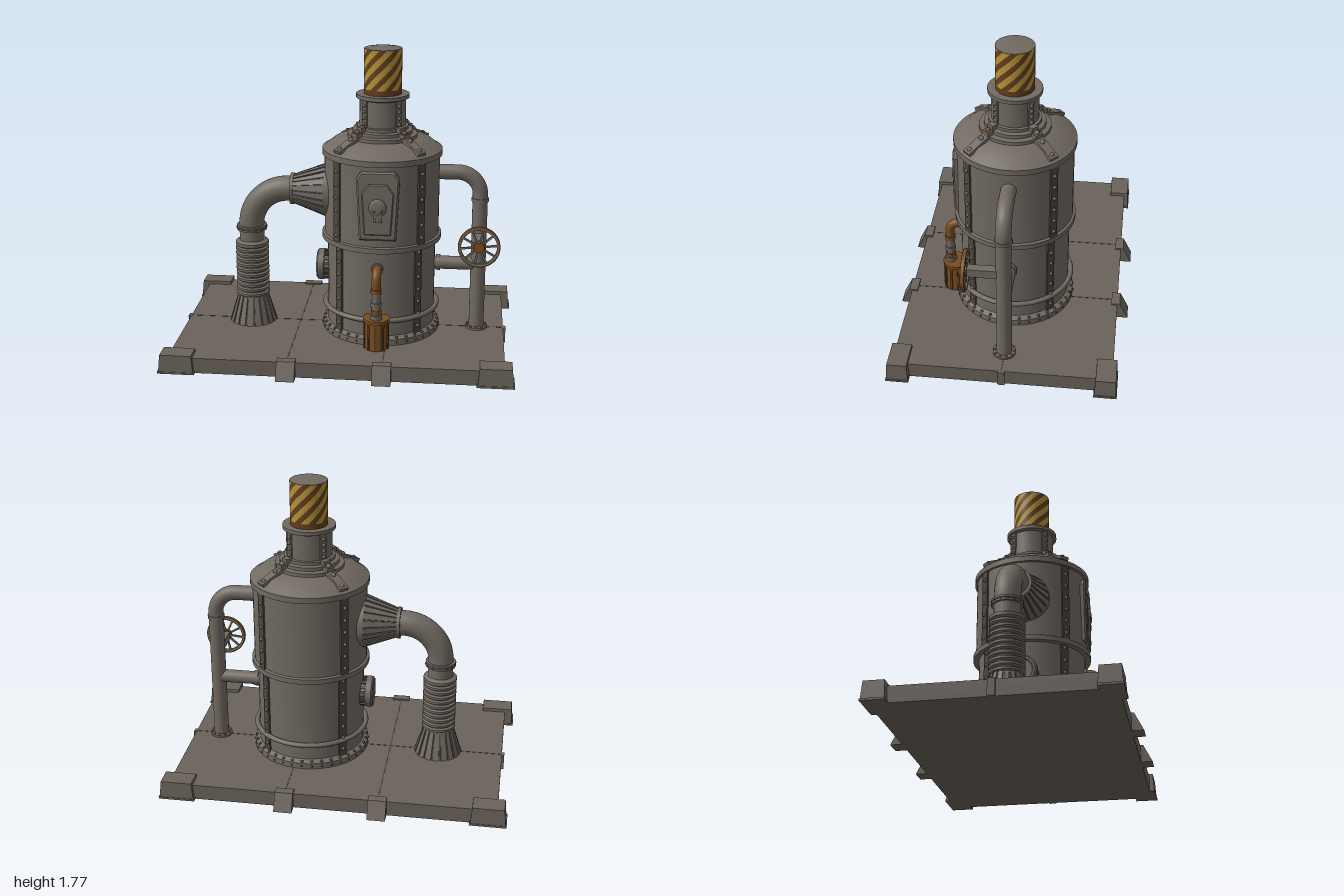
import * as THREE from 'three';
import { toCreasedNormals, mergeGeometries } from 'three/addons/utils/BufferGeometryUtils.js';

const mat = (name, color, side = THREE.FrontSide) => {
  const m = new THREE.MeshStandardMaterial({ color, side });
  m.name = name;
  return m;
};
const V = (x, y, z = 0) => new THREE.Vector3(x, y, z);

export function createModel() {
  const steel = mat('steel', 0x716a62);
  const plate = mat('basePlate', 0x6a635b);
  const dark = mat('darkSteel', 0x4b4641);
  const rust = mat('rust', 0x7a4e20);
  const brown = mat('stripeBrown', 0x633f1c);
  const yellow = mat('stripeYellow', 0xb5923a);
  const root = new THREE.Group();
  root.name = 'steamBoiler';

  const group = (name, parent = root, x = 0, y = 0, z = 0) => {
    const g = new THREE.Group();
    g.name = name;
    g.position.set(x, y, z);
    parent.add(g);
    return g;
  };
  const add = (parent, name, geo, m, x = 0, y = 0, z = 0) => {
    const mesh = new THREE.Mesh(geo, m);
    mesh.name = name;
    mesh.position.set(x, y, z);
    parent.add(mesh);
    return mesh;
  };
  const box = (w, h, d) => new THREE.BoxGeometry(w, h, d);
  const cyl = (r0, r1, h, n = 32) => new THREE.CylinderGeometry(r1, r0, h, n);
  const lathe = (pts, n = 64) => toCreasedNormals(
    new THREE.LatheGeometry(pts.map(([r, y]) => new THREE.Vector2(r, y)), n), 0.5);
  // Merged rivets at given points
  const rivets = (parent, name, pts, r, m) => add(parent, name, mergeGeometries(
    pts.map(p => new THREE.SphereGeometry(r, 8, 6).translate(p.x, p.y, p.z))), m);
  const ring = (n, r, y) => Array.from({ length: n }, (_, i) =>
    V(r * Math.sin(i / n * 2 * Math.PI), y, r * Math.cos(i / n * 2 * Math.PI)));
  // Pipe along a polyline with rounded corners
  const pipe = (pts, bend, r) => {
    const path = new THREE.CurvePath();
    let prev = pts[0];
    for (let i = 1; i < pts.length - 1; i++) {
      const p = pts[i];
      const a = p.clone().add(prev.clone().sub(p).setLength(bend));
      const b = p.clone().add(pts[i + 1].clone().sub(p).setLength(bend));
      path.add(new THREE.LineCurve3(prev, a));
      path.add(new THREE.CubicBezierCurve3(a, a.clone().lerp(p, 0.55), b.clone().lerp(p, 0.55), b));
      prev = b;
    }
    path.add(new THREE.LineCurve3(prev, pts[pts.length - 1]));
    return new THREE.TubeGeometry(path, 60, r, 24);
  };

  // Base: slab, seams, corner feet, edge tabs
  const base = group('base');
  const taper = (w, h, d, inX, inZ) => {
    const g = box(w, h, d), p = g.attributes.position;
    for (let i = 0; i < p.count; i++) if (p.getY(i) > 0) {
      if (p.getX(i) > 0) p.setX(i, p.getX(i) - inX);
      if (p.getZ(i) > 0) p.setZ(i, p.getZ(i) - inZ);
    }
    g.computeVertexNormals();
    return g;
  };
  add(base, 'slab', box(1.89, 0.09, 1.24), plate, 0, 0.045, 0);
  add(base, 'longSeam', box(1.89, 0.002, 0.007), dark, 0, 0.0905, 0);
  for (const x of [-0.27, 0.265]) add(base, 'crossSeam', box(0.007, 0.002, 1.24), dark, x, 0.0905, 0);
  for (const a of [0, 1]) {
    const half = group('baseHalf', base);
    half.rotation.y = a * Math.PI;
    for (const x of [-0.27, 0.265]) {
      add(half, 'edgeTab', taper(0.105, 0.1, 0.1, 0, 0.05), plate, (a ? -x : x), 0.05, 0.635);
    }
    add(half, 'sideTab', box(0.02, 0.092, 0.04), plate, 0.95, 0.046, 0);
  }
  for (const sx of [-1, 1]) for (const sz of [-1, 1]) {
    const foot = group('cornerFoot', base, sx * 0.895, 0, sz * 0.585);
    add(foot, 'footFlange', box(0.21, 0.012, 0.13), plate, 0, 0.006, 0);
    const g = box(0.2, 0.11, 0.125), p = g.attributes.position;
    for (let i = 0; i < p.count; i++) if (p.getY(i) > 0) p.setXYZ(i, p.getX(i) * 0.9, 0.055, p.getZ(i) * 0.9);
    g.computeVertexNormals();
    add(foot, 'footBlock', g, plate, 0, 0.055, 0);
  }

  // Boiler shell, bands and stepped roof
  const boiler = group('boiler', root, 0.215, 0, 0);
  add(boiler, 'shell', lathe([[0.345, 0.085], [0.345, 0.125], [0.315, 0.14], [0.315, 0.65], [0.348, 0.65],
    [0.348, 0.68], [0.333, 0.685], [0.333, 1.15], [0.346, 1.152], [0.346, 1.185], [0.33, 1.192],
    [0.28, 1.232], [0.2, 1.25], [0.2, 1.27], [0.172, 1.275], [0.172, 1.295], [0.148, 1.3], [0.148, 1.318],
    [0.132, 1.32], [0.132, 1.47], [0.152, 1.478], [0.152, 1.5], [0, 1.5]]), steel);
  const band = add(boiler, 'lowerBand', new THREE.TorusGeometry(0.33, 0.015, 10, 64), steel, 0, 0.24, 0);
  band.rotation.x = Math.PI / 2;
  rivets(boiler, 'baseRivets', ring(36, 0.333, 0.133), 0.009, dark);
  rivets(boiler, 'rimRivets', ring(36, 0.345, 0.107), 0.006, dark);

  // Four riveted straps running up shell, roof and neck
  for (let i = 0; i < 4; i++) {
    const rib = group('riveredStrap'.replace('riv', 'riv'), boiler);
    rib.name = 'rivetedStrap';
    rib.rotation.y = Math.PI / 4 + i * Math.PI / 2;
    add(rib, 'lowerStrap', box(0.05, 0.52, 0.02), dark, 0, 0.395, 0.314);
    add(rib, 'upperStrap', box(0.05, 0.47, 0.02), dark, 0, 0.915, 0.332);
    add(rib, 'roofStrap', box(0.055, 0.02, 0.15), steel, 0, 1.236, 0.268).rotation.x = 0.42;
    add(rib, 'strapStep', box(0.05, 0.04, 0.05), steel, 0, 1.275, 0.185);
    add(rib, 'strapStep', box(0.045, 0.04, 0.04), steel, 0, 1.305, 0.155);
    add(rib, 'neckStrap', box(0.038, 0.17, 0.016), steel, 0, 1.395, 0.132);
    const pts = [];
    for (let y = 0.18; y < 0.64; y += 0.075) pts.push(V(0, y, 0.325));
    for (let y = 0.72; y < 1.14; y += 0.075) pts.push(V(0, y, 0.343));
    for (let y = 1.34; y < 1.47; y += 0.035) pts.push(V(0, y, 0.141));
    rivets(rib, 'strapRivets', pts, 0.011, steel);
    const front = i === 0 || i === 3;
    rivets(rib, 'roofBolts', [V(0, 1.262, 0.235), V(0, 1.22, 0.315)], 0.015, steel);
    rivets(rib, 'innerBolt', [V(0, 1.298, 0.188)], 0.016, front ? rust : steel);
  }

  // Chimney with helical hazard stripes
  const chimney = group('chimney', boiler, 0, 1.63, 0);
  const R = 0.108, H = 0.26, N = 8;
  const stripe = (start, width) => {
    const g = new THREE.CylinderGeometry(R, R, H - 0.03, 6, 20, true, start, width);
    const p = g.attributes.position, n = g.attributes.normal;
    for (let i = 0; i < p.count; i++) {
      const a = Math.atan2(p.getX(i), p.getZ(i)) + p.getY(i) / R;
      p.setXYZ(i, R * Math.sin(a), p.getY(i), R * Math.cos(a));
      n.setXYZ(i, Math.sin(a), 0, Math.cos(a));
    }
    return g;
  };
  for (let i = 0; i < N; i++) {
    const w = 2 * Math.PI / N;
    add(chimney, 'yellowStripe', stripe(i * w, w * 0.52), yellow, 0, 0.015, 0);
    add(chimney, 'brownStripe', stripe((i + 0.52) * w, w * 0.48), brown, 0, 0.015, 0);
  }
  add(chimney, 'chimneyFoot', cyl(R, R, 0.03, 48), brown, 0, -0.115, 0);
  add(chimney, 'chimneyCap', lathe([[R, 0.125], [R, 0.128], [0.07, 0.134], [0, 0.137]], 48), steel);

  // Front plaque with skull relief
  const plaque = group('plaque', boiler, 0, 0, 0.305);
  const panel = (pts, depth) => new THREE.ExtrudeGeometry(
    new THREE.Shape(pts.map(([x, y]) => new THREE.Vector2(x, y))),
    { depth, bevelThickness: 0.01, bevelSize: 0.01, bevelSegments: 1 });
  add(plaque, 'plaqueBack', panel([[-0.095, 0.735], [0.095, 0.735], [0.112, 1.08], [0.09, 1.115],
    [-0.09, 1.115], [-0.112, 1.08]], 0.026), steel);
  add(plaque, 'plaqueFace', panel([[-0.07, 0.765], [0.07, 0.765], [0.085, 1.0], [0.05, 1.05],
    [-0.05, 1.05], [-0.085, 1.0]], 0.032), steel);
  const skull = group('skullRelief', plaque, 0, 0.92, 0.042);
  add(skull, 'cranium', new THREE.SphereGeometry(1, 24, 16), steel).scale.set(0.05, 0.052, 0.014);
  add(skull, 'jaw', box(0.05, 0.05, 0.016), steel, 0, -0.058, 0);
  for (const s of [-1, 1]) {
    add(skull, 'eyeSocket', new THREE.SphereGeometry(1, 16, 10), dark, s * 0.02, -0.015, 0.009).scale.set(0.013, 0.012, 0.006);
    add(skull, 'toothGap', box(0.004, 0.025, 0.002), dark, s * 0.01, -0.066, 0.0085);
  }
  add(skull, 'noseHole', new THREE.CircleGeometry(0.009, 3, Math.PI / 2), dark, 0, -0.039, 0.0125);

  // Round side port
  const port = group('sidePort', root, -0.09, 0.455, 0);
  port.rotation.z = Math.PI / 2;
  add(port, 'portCap', lathe([[0.08, -0.05], [0.08, 0.03], [0.092, 0.032], [0.092, 0.066], [0.082, 0.075],
    [0.07, 0.075], [0.065, 0.068], [0, 0.068]], 40), steel);
  add(port, 'portGrips', mergeGeometries(Array.from({ length: 18 }, (_, i) =>
    box(0.012, 0.07, 0.012).translate(0, 0.005, 0.084).rotateY(i * Math.PI / 9))), dark);

  // Cone with raised fins, wide end at y = 0
  const finnedCone = (parent, name, r0, r1, h, n) => {
    const g = group(name, parent);
    add(g, 'coneCore', cyl(r0 - 0.006, r1 - 0.006, h, 40), dark, 0, h / 2, 0);
    const w0 = 2 * Math.PI * r0 / n * 0.72, w1 = 2 * Math.PI * r1 / n * 0.72;
    const fin = box(1, h, 0.016), p = fin.attributes.position;
    for (let i = 0; i < p.count; i++) {
      const top = p.getY(i) > 0;
      p.setX(i, p.getX(i) * (top ? w1 : w0));
      p.setZ(i, p.getZ(i) + (top ? r1 : r0) - 0.008);
    }
    fin.translate(0, h / 2, 0).computeVertexNormals();
    add(g, 'fins', mergeGeometries(Array.from({ length: n }, (_, i) => fin.clone().rotateY(i / n * 2 * Math.PI))), steel);
    return g;
  };

  // Exhaust duct on the right
  const duct = group('exhaustDuct', root, -0.558, 0, 0);
  finnedCone(duct, 'ductSkirt', 0.14, 0.09, 0.165, 18).position.y = 0.09;
  const bellows = [[0.09, 0.245]];
  for (let i = 0; i < 10; i++) {
    const y = 0.255 + i * 0.031;
    bellows.push([0.084, y], [0.098, y + 0.006], [0.098, y + 0.02], [0.084, y + 0.026]);
  }
  bellows.push([0.098, 0.57], [0.098, 0.588], [0.075, 0.6]);
  add(duct, 'bellows', lathe(bellows, 40), steel);
  add(duct, 'ductElbow', pipe([V(0, 0.58), V(0, 0.918), V(0.28, 0.918)], 0.22, 0.074), steel);
  for (const y of [0.668, 0.685]) add(duct, 'ductCollar', cyl(0.088, 0.088, 0.013), steel, 0, y, 0);
  rivets(duct, 'collarBolts', ring(14, 0.086, 0.676), 0.007, dark);
  const horn = finnedCone(root, 'ductHorn', 0.155, 0.085, 0.19, 22);
  horn.position.set(-0.115, 0.918, 0);
  horn.rotation.z = Math.PI / 2;
  add(horn, 'hornCollar', cyl(0.092, 0.092, 0.02), steel, 0, 0.195, 0);
  add(horn, 'hornBase', cyl(0.155, 0.155, 0.1, 40), steel, 0, -0.05, 0);

  // Feed pipe on the left with branch
  const feed = group('feedPipe', root, 0.785, 0, 0);
  add(feed, 'mainPipe', pipe([V(0, 0.09), V(0, 1.045), V(-0.26, 1.045)], 0.13, 0.044), steel);
  add(feed, 'branchPipe', cyl(0.039, 0.039, 0.27), steel, -0.135, 0.49, 0).rotation.z = Math.PI / 2;
  add(feed, 'branchCollar', cyl(0.046, 0.046, 0.025), steel, -0.235, 0.49, 0).rotation.z = Math.PI / 2;
  add(feed, 'upperCollar', cyl(0.05, 0.05, 0.02), steel, 0, 0.885, 0);
  add(feed, 'footFlange', cyl(0.066, 0.066, 0.012), steel, 0, 0.096, 0);
  rivets(feed, 'footBolts', ring(10, 0.056, 0.103), 0.008, rust);

  // Valve wheel
  const valve = group('valve', feed, 0, 0.665, 0);
  add(valve, 'valveStem', box(0.05, 0.05, 0.19), steel, 0, 0, 0.105);
  const wheel = group('valveWheel', valve, 0, 0, 0.212);
  wheel.rotation.x = Math.PI / 2;
  add(wheel, 'rimOuter', lathe([[0.112, -0.013], [0.12, -0.01], [0.12, 0.01], [0.112, 0.013]], 48), rust);
  add(wheel, 'rimInner', lathe([[0.112, 0.013], [0.102, 0.011], [0.102, -0.011], [0.112, -0.013]], 48), steel);
  for (let i = 0; i < 5; i++) {
    add(wheel, 'spokePair', box(0.212, 0.01, 0.011), steel).rotation.y = i * Math.PI / 5 + 0.1;
  }
  add(wheel, 'hub', cyl(0.036, 0.03, 0.03, 20), rust, 0, 0.004, 0);

  // Rusty drain pump at the front
  const pump = group('drainPump', root, 0.215, 0, 0.36);
  add(pump, 'pumpPot', cyl(0.068, 0.068, 0.17, 28), rust, 0, 0.175, 0);
  add(pump, 'pumpRim', cyl(0.076, 0.076, 0.018, 28), rust, 0, 0.264, 0);
  add(pump, 'pumpStaves', mergeGeometries(Array.from({ length: 10 }, (_, i) =>
    box(0.014, 0.165, 0.012).translate(0, 0.175, 0.068).rotateY(i * Math.PI / 5))), brown);
  add(pump, 'drainLower', cyl(0.025, 0.025, 0.19, 20), steel, 0, 0.36, 0.03);
  add(pump, 'drainElbow', pipe([V(0, 0.44, 0.03), V(0, 0.55, 0.03), V(0, 0.55, -0.06)], 0.05, 0.026), rust);
  for (const [y, r, m] of [[0.29, 0.034, steel], [0.32, 0.03, rust], [0.365, 0.031, steel], [0.445, 0.031, rust]]) {
    add(pump, 'drainCollar', cyl(r, r, 0.025, 20), m, 0, y, 0.03);
  }
  add(pump, 'drainWallCollar', cyl(0.034, 0.034, 0.016, 20), steel, 0, 0.55, -0.04).rotation.x = Math.PI / 2;
  return root;
}
